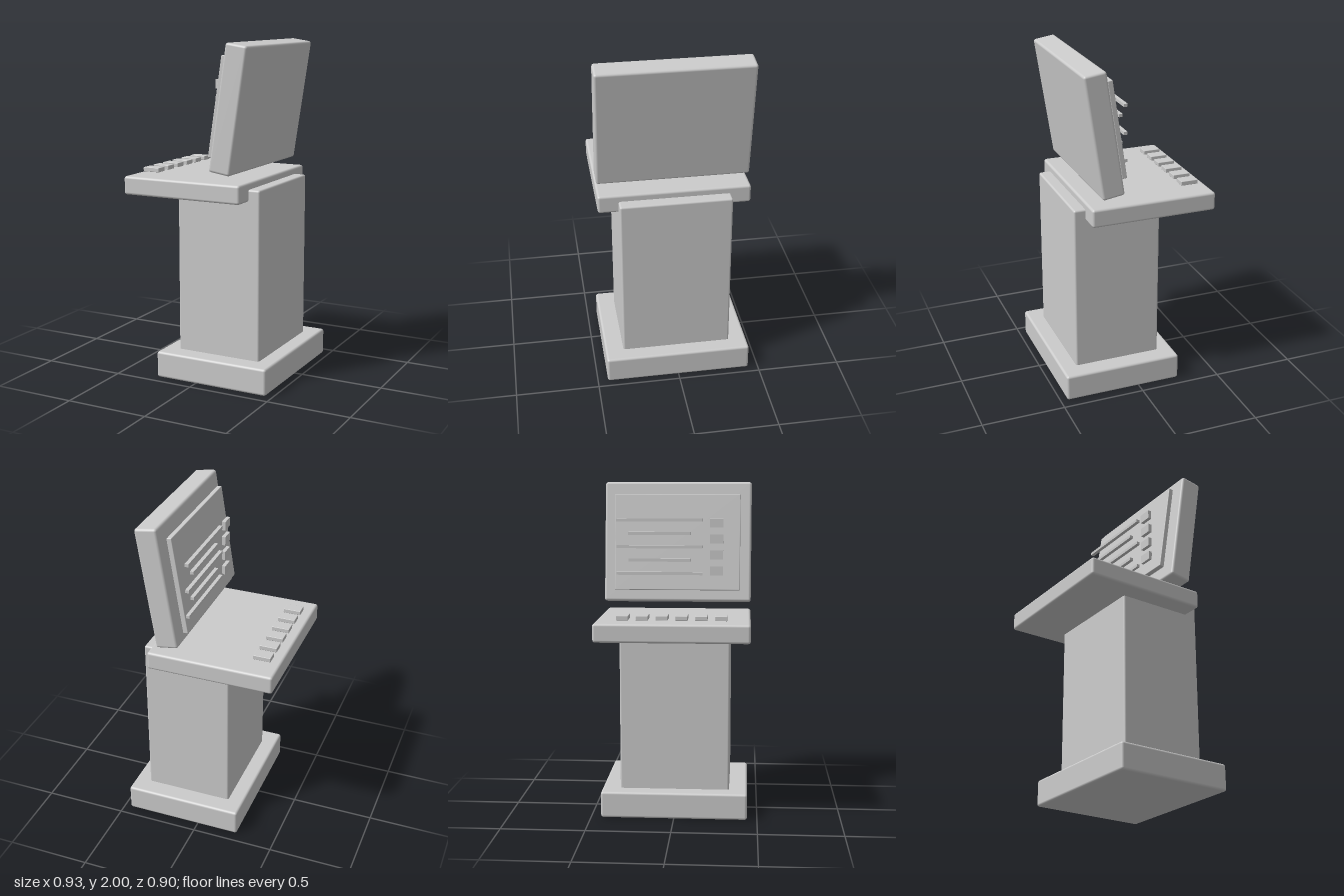
import * as THREE from 'three';
import { RoundedBoxGeometry } from 'three/addons/geometries/RoundedBoxGeometry.js';

const TILT = -0.15; // backward lean of the monitor

export function createModel() {
  const model = new THREE.Group();
  model.name = 'consoleTerminal';
  const material = new THREE.MeshStandardMaterial({ color: 0xcccccc });

  // Box with softened edges, placed by its centre
  function block(name, size, position, radius, parent = model) {
    const geometry = radius > 0
      ? new RoundedBoxGeometry(...size, 2, radius)
      : new THREE.BoxGeometry(...size);
    const mesh = new THREE.Mesh(geometry, material);
    mesh.name = name;
    mesh.position.set(...position);
    parent.add(mesh);
    return mesh;
  }

  // Stand
  block('base', [0.72, 0.16, 0.88], [0.1, 0.08, 0], 0.015);
  block('pedestal', [0.53, 1.03, 0.66], [0.1, 0.655, 0], 0.012);
  block('desktop', [0.76, 0.11, 0.9], [-0.085, 1.155, 0], 0.015);

  // Leaning monitor and its display panel
  block('monitorBody', [0.134, 0.732, 0.9], [0.22, 1.628, 0], 0.015).rotation.z = TILT;
  block('displayPanel', [0.03, 0.585, 0.765], [0.12, 1.636, 0], 0.004).rotation.z = TILT;

  // Row of keys along the desk edge
  const keys = new THREE.Group();
  keys.name = 'keys';
  model.add(keys);
  for (let i = 0; i < 6; i++) {
    block('key', [0.105, 0.026, 0.07], [-0.358, 1.237, -0.284 + i * 0.113], 0.003, keys);
  }

  // Raised readout bars, alternating long and short
  const readout = new THREE.Group();
  readout.name = 'readout';
  model.add(readout);
  for (let i = 0; i < 5; i++) {
    const length = i % 2 ? 0.38 : 0.525;
    block('readoutBar', [0.022, 0.018, length], [0.068, 1.773 - i * 0.081, -0.107], 0, readout);
  }

  // Column of square indicators beside the bars
  for (let i = 0; i < 4; i++) {
    block('indicator', [0.022, 0.054, 0.08], [0.068, 1.757 - i * 0.097, 0.24], 0, readout);
  }

  return model;
}
